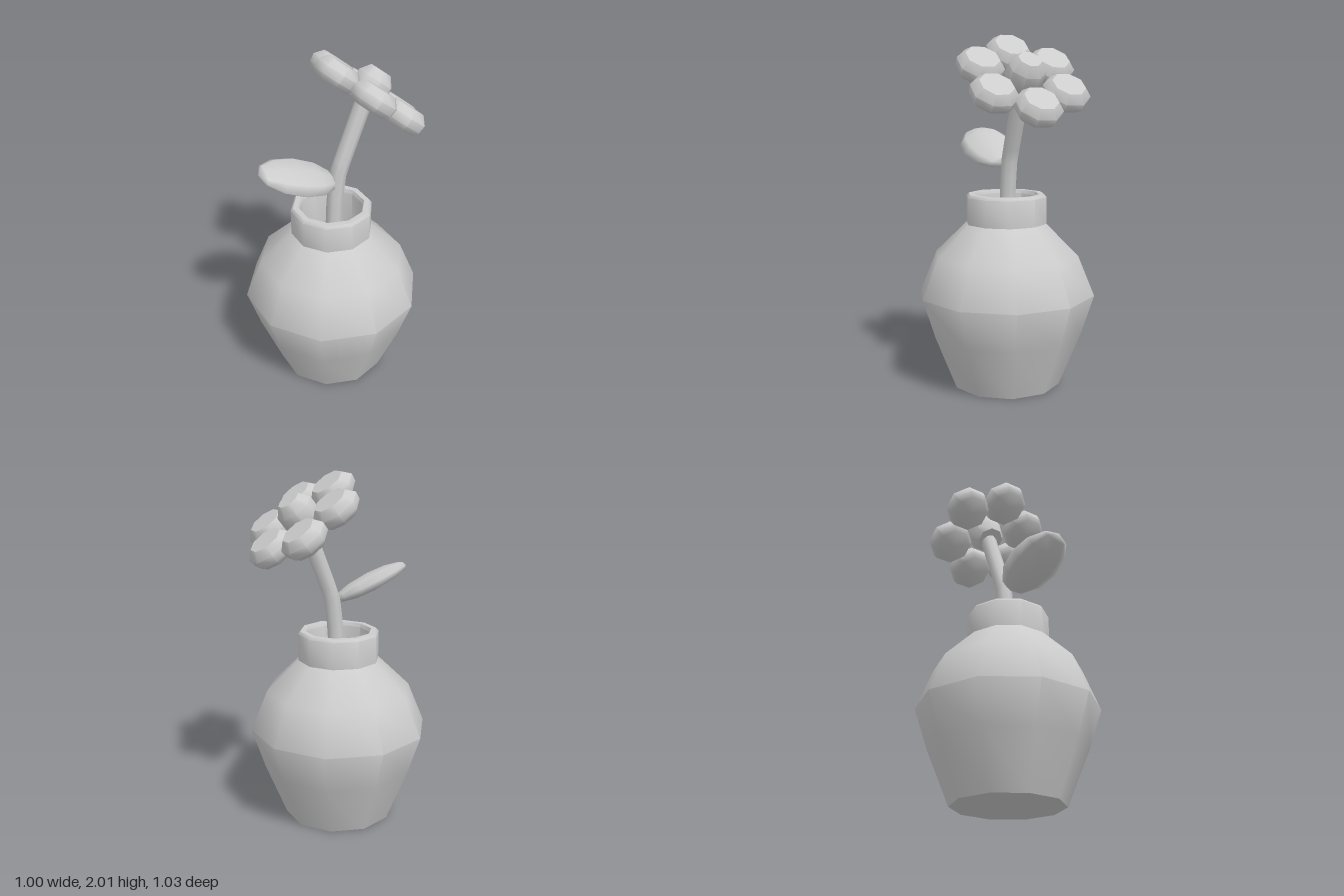
import * as THREE from 'three';
import { toCreasedNormals } from 'three/addons/utils/BufferGeometryUtils.js';

const clay = new THREE.MeshStandardMaterial({ color: 0xcccccc });
clay.name = 'plain grey';

function part(name, geometry, parent) {
  const mesh = new THREE.Mesh(geometry, clay);
  mesh.name = name;
  parent.add(mesh);
  return mesh;
}

// Faceted solid of revolution, soft around the sides and sharp at hard rims
function turned(profile, sides, crease, start = 0) {
  const points = profile.map(([r, y]) => new THREE.Vector2(r, y));
  return toCreasedNormals(new THREE.LatheGeometry(points, sides, start), crease);
}

export function createModel() {
  const model = new THREE.Group();
  model.name = 'flowerInVase';

  // Ten-sided vase with a hollow neck
  const vase = part('vase', turned([
    [0, 0], [0.315, 0], [0.44, 0.31], [0.515, 0.54], [0.42, 0.77], [0.235, 0.95],
    [0.235, 1.105], [0.222, 1.12], [0.19, 1.12], [0.18, 1.1], [0.18, 0.88], [0, 0.85],
  ], 10, 0.7), model);
  vase.position.x = -0.01;

  // Stem, bent just above the rim
  const path = new THREE.CatmullRomCurve3([
    new THREE.Vector3(0, 0.85, 0),
    new THREE.Vector3(0.01, 1.12, 0),
    new THREE.Vector3(0.035, 1.32, 0),
    new THREE.Vector3(0.2, 1.74, 0),
  ], false, 'catmullrom', 0.1);
  part('stem', new THREE.TubeGeometry(path, 12, 0.048, 8), model);

  // Leaf: flattened ellipsoid, rolled toward the front
  const leafShape = new THREE.SphereGeometry(1, 8, 6).rotateZ(Math.PI / 2).scale(0.245, 0.055, 0.15);
  const leaf = part('leaf', leafShape, model);
  leaf.position.set(-0.23, 1.375, 0.02);
  leaf.rotation.set(0.3, 0, -0.35, 'ZYX');

  // Tilted flower head: six octagonal petals around a raised centre
  const flower = new THREE.Group();
  flower.name = 'flower';
  flower.position.set(0.212, 1.767, 0);
  flower.rotation.z = -0.665;
  model.add(flower);

  const petalShape = turned([
    [0, -0.06], [0.1, -0.06], [0.13, -0.03], [0.135, 0.015], [0.095, 0.06], [0, 0.06],
  ], 8, 0.85, Math.PI / 8);
  for (let i = 0; i < 6; i++) {
    const a = (i * Math.PI) / 3;
    const petal = part('petal', petalShape, flower);
    petal.position.set(Math.cos(a) * 0.235, 0, Math.sin(a) * 0.245);
  }
  part('flowerCentre', turned([
    [0, -0.06], [0.08, -0.06], [0.107, 0.0], [0.107, 0.08], [0.065, 0.135], [0, 0.135],
  ], 8, 0.85, Math.PI / 8), flower);

  return model;
}
